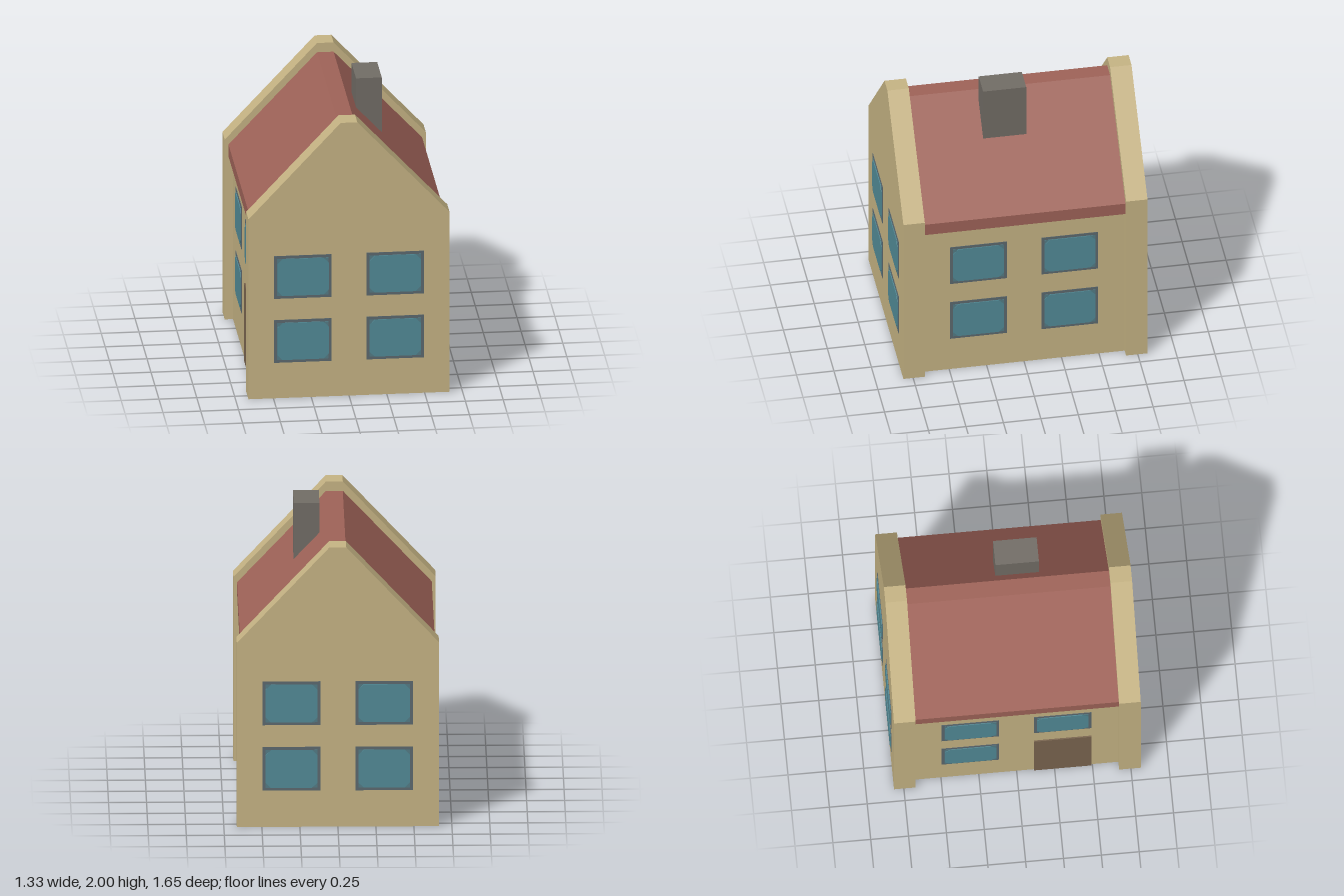
import * as THREE from 'three';

const mat = (name, color) => {
  const m = new THREE.MeshStandardMaterial({ color });
  m.name = name;
  return m;
};

// Extrude a polygon of [x, y] points along z, starting at z0
function prism(points, z0, depth) {
  const shape = new THREE.Shape(points.map(([x, y]) => new THREE.Vector2(x, y)));
  const geo = new THREE.ExtrudeGeometry(shape, { depth, bevelEnabled: false });
  return geo.translate(0, 0, z0);
}

export function createModel() {
  const stone = mat('sandstone', 0xc6b484);
  const roofRed = mat('roof red', 0x9f6358);
  const chimneyGrey = mat('chimney grey', 0x726d66);
  const frameGrey = mat('window frame grey', 0x5c696f);
  const glassEdge = mat('glass edge', 0x547c86);
  const glassBlue = mat('glass blue', 0x528b97);
  const doorBrown = mat('door brown', 0x7a654f);

  const house = new THREE.Group();
  house.name = 'house';
  const add = (parent, name, geo, material) => {
    const mesh = new THREE.Mesh(geo, material);
    mesh.name = name;
    parent.add(mesh);
    return mesh;
  };

  const WALL_X = 0.61, GABLE_IN = 0.672, GABLE_OUT = 0.815;

  // Gable ends, standing proud of walls and roof
  const gable = [[-0.665, 0], [0.665, 0], [0.665, 1.265], [0.055, 1.92], [-0.055, 1.92], [-0.665, 1.265]];
  const thick = GABLE_OUT - GABLE_IN;
  add(house, 'frontGable', prism(gable, GABLE_IN, thick), stone);
  add(house, 'backGable', prism(gable, -GABLE_OUT, thick), stone);

  // Thin side walls; the house is hollow and open below
  for (const s of [1, -1]) {
    const wall = new THREE.BoxGeometry(0.006, 1.18, 2 * GABLE_IN);
    add(house, s > 0 ? 'leftWall' : 'rightWall', wall, stone).position.set(s * (WALL_X - 0.003), 0.59, 0);
  }

  // Roof: a folded slab with a flat ridge
  const roof = [
    [0.64, 1.145], [0.64, 1.23], [0.055, 1.855], [-0.055, 1.855], [-0.64, 1.23], [-0.64, 1.145],
    [-0.055, 1.77], [0.055, 1.77],
  ];
  add(house, 'roof', prism(roof, -GABLE_IN, 2 * GABLE_IN), roofRed);

  // Chimney with its foot cut along the roof slope
  const chimney = [[0.11, 1.79], [0.28, 1.61], [0.28, 2], [0.11, 2]];
  add(house, 'chimney', prism(chimney, -0.073, 0.288), chimneyGrey);

  // Window: frame plate, glass border and pane with cut corners
  const w = 0.17, h = 0.13, c = 0.035;
  const pane = [
    [-w + c, -h], [w - c, -h], [w, -h + c], [w, h - c],
    [w - c, h], [-w + c, h], [-w, h - c], [-w, -h + c],
  ];
  const frameGeo = new THREE.BoxGeometry(0.38, 0.3, 0.003).translate(0, 0, 0.0015);
  const edgeGeo = new THREE.BoxGeometry(2 * w, 2 * h, 0.006).translate(0, 0, 0.003);
  const paneGeo = prism(pane, 0, 0.009);

  function makeWindow(x, y) {
    const win = new THREE.Group();
    win.name = 'window';
    add(win, 'windowFrame', frameGeo, frameGrey);
    add(win, 'glassBorder', edgeGeo, glassEdge);
    add(win, 'glassPane', paneGeo, glassBlue);
    win.position.set(x, y, 0);
    return win;
  }

  // Openings on each face, laid out facing +z and then turned
  const faces = [
    ['front', 0, GABLE_OUT], ['left', Math.PI / 2, WALL_X],
    ['back', Math.PI, GABLE_OUT], ['right', -Math.PI / 2, WALL_X],
  ];
  for (const [name, turn, dist] of faces) {
    const face = new THREE.Group();
    face.name = name + 'Openings';
    face.rotation.y = turn;
    face.position.set(Math.sin(turn) * dist, 0, Math.cos(turn) * dist);
    for (const x of [-0.305, 0.305]) {
      for (const y of [0.4, 0.85]) {
        if (name === 'right' && x > 0 && y < 0.5) {
          // The door takes the place of one lower window
          const doorGeo = new THREE.BoxGeometry(0.38, 0.55, 0.009);
          add(face, 'door', doorGeo, doorBrown).position.set(x, 0.275, 0.0045);
        } else {
          face.add(makeWindow(x, y));
        }
      }
    }
    house.add(face);
  }
  return house;
}
